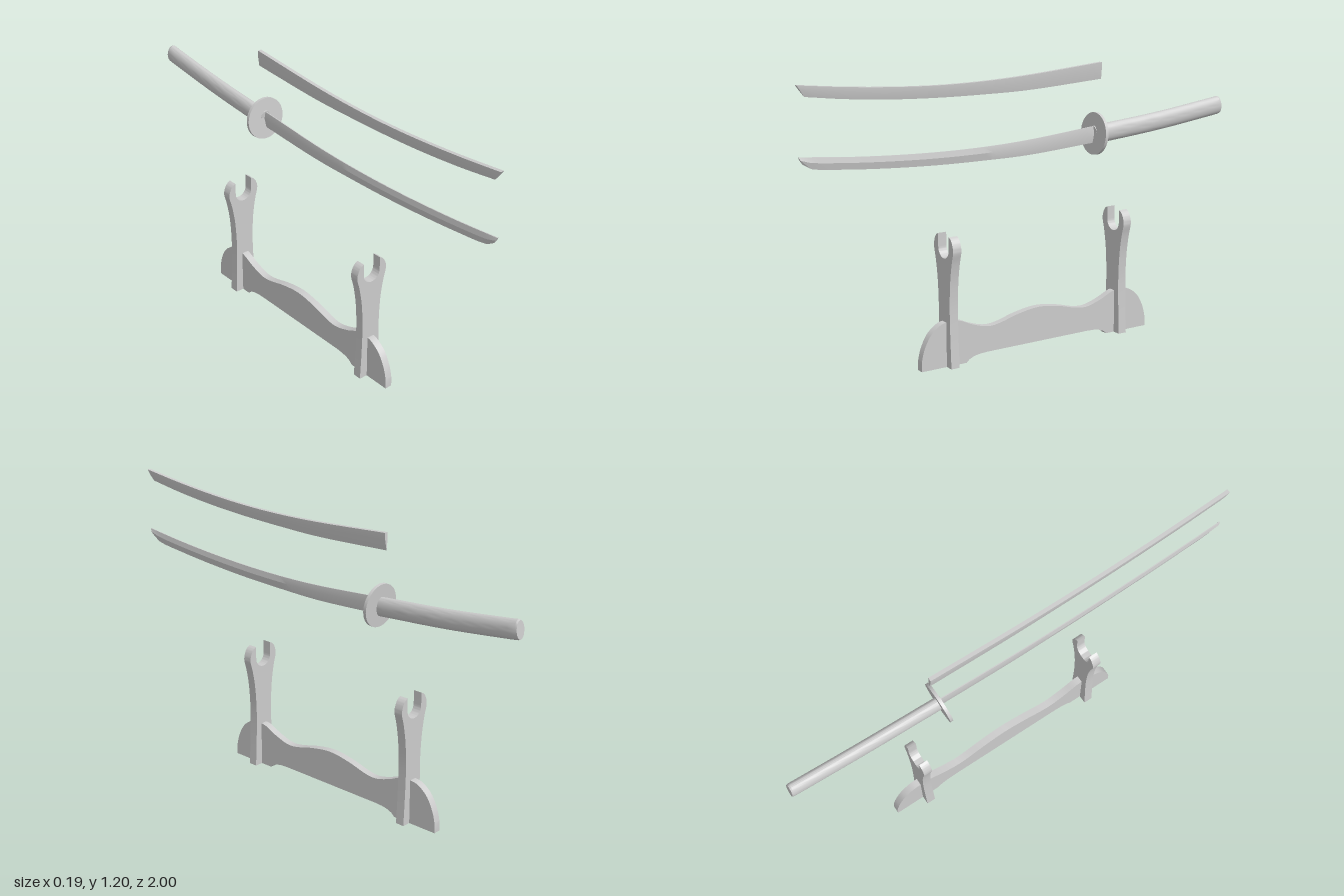
import * as THREE from 'three';
import { toCreasedNormals } from 'three/addons/utils/BufferGeometryUtils.js';

const material = new THREE.MeshStandardMaterial({ color: 0xcccccc });
const SWORD_X = 0.005;
const STAND_X = -0.024;

function addMesh(parent, name, geometry) {
  const mesh = new THREE.Mesh(geometry, material);
  mesh.name = name;
  parent.add(mesh);
  return mesh;
}

// Closed solid through convex rings of [x, y, z], ordered from -z to +z,
// each running counter-clockwise as seen from +z
function loft(rings) {
  const n = rings[0].length, last = (rings.length - 1) * n;
  const index = [];
  for (let i = 0; i < rings.length - 1; i++) {
    for (let j = 0; j < n; j++) {
      const a = i * n + j, b = i * n + (j + 1) % n;
      index.push(a, b, b + n, a, b + n, a + n);
    }
  }
  for (let j = 1; j < n - 1; j++) {
    index.push(0, j + 1, j);
    index.push(last, last + j, last + j + 1);
  }
  const geometry = new THREE.BufferGeometry();
  geometry.setAttribute('position', new THREE.Float32BufferAttribute(rings.flat(2), 3));
  geometry.setIndex(index);
  return toCreasedNormals(geometry, 0.35);
}

// Smooth curve in the side plane from [z, y] pairs
const sideCurve = (pts) =>
  new THREE.CatmullRomCurve3(pts.map(([z, y]) => new THREE.Vector3(0, y, z)));

// Blade-like solid between a back edge and a cutting edge;
// section lists [x, fraction of the way from back to edge]
function bladeGeometry(back, edge, section) {
  const backPts = sideCurve(back).getSpacedPoints(32);
  const edgePts = sideCurve(edge).getSpacedPoints(32);
  return loft(backPts.map((p, i) => section.map(([x, f]) => {
    const q = p.clone().lerp(edgePts[i], f);
    return [x, q.y, q.z];
  })));
}

function createSword() {
  const sword = new THREE.Group();
  sword.name = 'sword';
  sword.position.x = SWORD_X;

  addMesh(sword, 'blade', bladeGeometry(
    [[-0.335, 0.917], [0, 0.892], [0.2, 0.886], [0.4, 0.888], [0.6, 0.897], [0.8, 0.912], [1, 0.933]],
    [[-0.335, 0.847], [0, 0.83], [0.2, 0.831], [0.4, 0.836], [0.6, 0.847], [0.8, 0.864], [0.955, 0.885], [0.985, 0.905]],
    [[0.002, 0], [-0.002, 0], [-0.006, 0.45], [0, 1], [0.006, 0.45]]
  ));

  // Round guard, tilted to follow the grip
  const guard = addMesh(sword, 'guard', toCreasedNormals(
    new THREE.CylinderGeometry(0.088, 0.088, 0.013, 48), 0.6));
  guard.position.set(0, 0.885, -0.335);
  guard.rotation.x = Math.PI / 2 - 0.085;

  // Oval grip with a gently rising axis and a softened end
  const axis = sideCurve([[-0.997, 0.945], [-0.667, 0.907], [-0.33, 0.88]]).getSpacedPoints(16);
  const gripRing = (p, scale, dz) => Array.from({ length: 28 }, (_, j) => {
    const a = j / 28 * Math.PI * 2;
    const dy = 0.039 * scale * Math.sin(a);
    return [0.025 * scale * Math.cos(a), p.y + dy, p.z + dz + dy * 0.09];
  });
  const rings = axis.map((p) => gripRing(p, 1, 0));
  rings[0] = gripRing(axis[0], 0.93, 0);
  rings.splice(1, 0, gripRing(axis[0], 1, 0.007));
  addMesh(sword, 'grip', loft(rings));
  return sword;
}

function createScabbard() {
  // Wedge-shaped, with a flat back
  const scabbard = addMesh(new THREE.Group(), 'scabbard', bladeGeometry(
    [[-0.362, 1.18], [0, 1.155], [0.2, 1.148], [0.4, 1.149], [0.6, 1.159], [0.8, 1.176], [1, 1.199]],
    [[-0.365, 1.11], [0, 1.094], [0.2, 1.095], [0.4, 1.1], [0.6, 1.111], [0.8, 1.13], [0.968, 1.153]],
    [[0.008, 0], [-0.008, 0], [-0.007, 0.4], [0, 1], [0.007, 0.4]]
  ));
  scabbard.position.x = SWORD_X;
  return scabbard;
}

// Upright with a U-shaped fork at the top
function uprightGeometry(depth) {
  const shape = new THREE.Shape();
  const outer = [[0.052, 0], [0.046, 0.12], [0.043, 0.24], [0.046, 0.32], [0.052, 0.38],
    [0.063, 0.44], [0.075, 0.488], [0.068, 0.52], [0.056, 0.537], [0.042, 0.545]];
  const vectors = outer.map(([x, y]) => new THREE.Vector2(x, y));
  const right = new THREE.SplineCurve(vectors).getPoints(40);
  shape.setFromPoints(right);
  shape.lineTo(0.041, 0.49);
  shape.absarc(0, 0.491, 0.041, 0, Math.PI, true);
  shape.lineTo(-0.042, 0.545);
  right.reverse().forEach((p) => shape.lineTo(-p.x, p.y));
  const geometry = new THREE.ExtrudeGeometry(shape, { depth, bevelEnabled: false, curveSegments: 20 });
  geometry.translate(0, 0, -depth / 2);
  return toCreasedNormals(geometry, 0.5);
}

// Long wavy board joining the uprights, symmetric about its middle
function boardGeometry(depth) {
  const half = [[0.558, 0.04], [0.545, 0.09], [0.515, 0.145], [0.47, 0.18], [0.43, 0.188],
    [0.38, 0.184], [0.32, 0.158], [0.25, 0.138], [0.19, 0.142], [0.1, 0.165], [0, 0.178]];
  const full = [...half, ...half.slice(0, -1).reverse().map(([s, y]) => [-s, y])];
  const shape = new THREE.Shape();
  shape.moveTo(0.558, 0);
  shape.lineTo(0.558, 0.04);
  shape.splineThru(full.slice(1).map(([s, y]) => new THREE.Vector2(s, y)));
  shape.lineTo(-0.558, 0);
  // Arched cut-out under the board
  shape.lineTo(-0.35, 0);
  shape.quadraticCurveTo(-0.33, 0.029, -0.25, 0.029);
  shape.lineTo(0.25, 0.029);
  shape.quadraticCurveTo(0.33, 0.029, 0.35, 0);
  shape.closePath();
  const geometry = new THREE.ExtrudeGeometry(shape, { depth, bevelEnabled: false, curveSegments: 4 });
  geometry.translate(0, 0, -depth / 2);
  geometry.rotateY(-Math.PI / 2);
  return toCreasedNormals(geometry, 0.5);
}

function createStand() {
  const stand = new THREE.Group();
  stand.name = 'stand';
  stand.position.set(STAND_X, 0, -0.067);
  addMesh(stand, 'baseBoard', boardGeometry(0.031));
  const upright = uprightGeometry(0.038);
  addMesh(stand, 'frontUpright', upright).position.z = 0.424;
  addMesh(stand, 'backUpright', upright).position.z = -0.41;
  return stand;
}

export function createModel() {
  const model = new THREE.Group();
  model.name = 'swordDisplay';
  model.add(createSword(), createScabbard(), createStand());
  return model;
}
